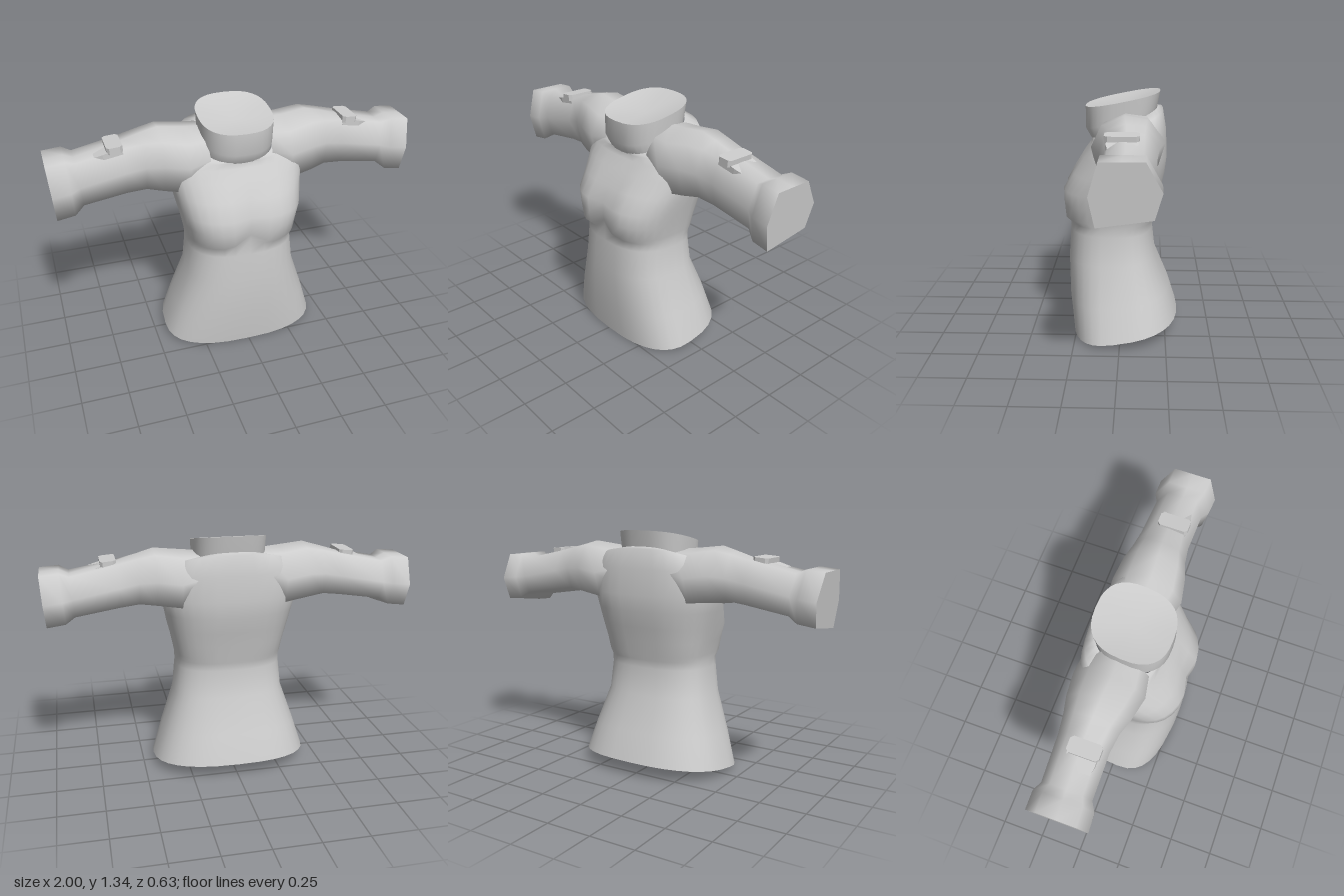
import * as THREE from 'three';

const cloth = new THREE.MeshStandardMaterial({ color: 0xcccccc });
cloth.name = 'plain grey cloth';

// Smooth skin over a list of rings with equal point counts
function loft(name, rings) {
  const n = rings[0].length, index = [];
  for (let r = 0; r < rings.length - 1; r++) {
    for (let i = 0; i < n; i++) {
      const a = r * n + i, b = r * n + (i + 1) % n;
      index.push(a, b, b + n, a, b + n, a + n);
    }
  }
  return skin(name, rings.flat(), index);
}

// Fan that closes a ring; sink lowers its centre into a shallow dish
function cap(name, ring, flip = false, sink = 0) {
  const n = ring.length;
  const centre = ring.reduce((sum, p) => sum.add(p), new THREE.Vector3()).divideScalar(n);
  centre.y -= sink;
  const index = [];
  for (let i = 0; i < n; i++) {
    const j = (i + 1) % n;
    index.push(n, flip ? j : i, flip ? i : j);
  }
  return skin(name, [...ring, centre], index);
}

function skin(name, points, index) {
  const geometry = new THREE.BufferGeometry().setFromPoints(points);
  geometry.setIndex(index);
  geometry.computeVertexNormals();
  return named(name, geometry);
}

function named(name, geometry) {
  const mesh = new THREE.Mesh(geometry, cloth);
  mesh.name = name;
  return mesh;
}

// Horizontal body section: rounded outline, tilted, with an optional centre cleft
function bodyRing({ y, w, f, b, m = 0.03, tilt = 0, cleft = 0, lift = 0, e = 0.78 }) {
  const ring = [], n = 32;
  const power = (v) => Math.sign(v) * Math.abs(v) ** e;
  for (let i = 0; i < n; i++) {
    const t = (i / n) * Math.PI * 2;
    const c = Math.abs(Math.cos(t)) < 1e-6 ? 0 : Math.cos(t);
    const x = w * power(Math.sin(t));
    let z = m + (c > 0 ? f - m : m - b) * power(c);
    let py = y - tilt * z;
    if (c > 0) {
      const middle = Math.exp(-((x / 0.065) ** 2));
      z -= cleft * middle;
      py += lift * middle;
    }
    ring.push(new THREE.Vector3(x, py, z));
  }
  return ring;
}

// Upright sleeve section; drop lowers the upper corners beside the top point
function sleeveRing(s, [x, top, bottom, front, back, drop, lean = 0]) {
  const outline = [[0.72, 1 - drop], [1, -0.05], [0.82, -1], [-0.78, -0.75],
    [-1, 0.09], [-0.54, 1 - drop * 0.4], [0.1, 1]];
  const ring = outline.map(([u, v]) => new THREE.Vector3(
    s * (x - lean * (1 - v) / 2),
    (top + bottom) / 2 + v * (top - bottom) / 2,
    (front + back) / 2 + u * (front - back) / 2));
  return s > 0 ? ring : ring.reverse();
}

function sleeve(s, side) {
  const group = new THREE.Group();
  group.name = side + 'Sleeve';
  // x, top, bottom, front, back, corner drop, lean
  const rings = [
    [0.17, 1.24, 0.99, 0.13, -0.22, 0.35],
    [0.28, 1.25, 0.93, 0.15, -0.235, 0.35],
    [0.41, 1.265, 0.95, 0.125, -0.22, 0.3],
    [0.5, 1.24, 0.965, 0.095, -0.2, 0.2],
    [0.6, 1.21, 0.953, 0.08, -0.19, 0.1],
    [0.85, 1.152, 0.918, 0.08, -0.185, 0, 0.02],
    [0.9, 1.175, 0.88, 0.11, -0.21, 0, 0.02],
    [1.0, 1.166, 0.867, 0.115, -0.21, 0, 0.025],
  ].map((r) => sleeveRing(s, r));
  group.add(loft('sleeveAndCuff', rings));
  group.add(cap('cuffEnd', rings[rings.length - 1]));

  // Tapered pad lying on the upper sleeve
  const pad = plate('sleevePad', s, 0.045,
    [[-0.1, 0.1], [0.04, 0.1], [0.105, 0.045], [0.105, -0.03], [0, -0.05], [-0.1, -0.05]]);
  pad.position.set(s * 0.7, 1.138, 0);
  pad.rotation.z = -0.28 * s;
  // Raised band across the inner end of the pad
  const band = plate('padBand', s, 0.035,
    [[-0.04, 0.09], [-0.025, 0.105], [0.03, 0.105], [0.043, 0.09],
      [0.043, -0.045], [0.03, -0.06], [-0.025, -0.06], [-0.04, -0.045]]);
  band.position.set(s * 0.645, 1.183, 0);
  band.rotation.z = -0.08 * s;
  group.add(pad, band);
  return group;
}

// Flat plate from an outline seen from above
function plate(name, s, depth, outline) {
  const shape = new THREE.Shape(outline.map(([x, y]) => new THREE.Vector2(s * x, y)));
  const geometry = new THREE.ExtrudeGeometry(shape, { depth, bevelEnabled: false });
  geometry.rotateX(-Math.PI / 2);
  return named(name, geometry);
}

export function createModel() {
  const model = new THREE.Group();
  model.name = 'shirtTorso';

  // Torso from hem to collar base
  const body = [
    { y: 0.039, w: 0.44, f: 0.27, b: -0.32, tilt: 0.144 },
    { y: 0.22, w: 0.384, f: 0.29, b: -0.27, tilt: 0.08 },
    { y: 0.43, w: 0.312, f: 0.295, b: -0.19, tilt: 0.02 },
    { y: 0.59, w: 0.295, f: 0.283, b: -0.172 },
    { y: 0.635, w: 0.296, f: 0.28, b: -0.178, lift: 0.05 },
    { y: 0.665, w: 0.3, f: 0.314, b: -0.187, lift: 0.05, cleft: 0.028, e: 0.72 },
    { y: 0.74, w: 0.315, f: 0.32, b: -0.2, lift: 0.02, cleft: 0.032, e: 0.72 },
    { y: 0.82, w: 0.335, f: 0.32, b: -0.22, cleft: 0.03, e: 0.72 },
    { y: 0.91, w: 0.355, f: 0.268, b: -0.24, m: 0.0, cleft: 0.015 },
    { y: 1.0, w: 0.375, f: 0.21, b: -0.25, m: -0.02 },
    { y: 1.09, w: 0.37, f: 0.168, b: -0.243, m: -0.03, tilt: 0.2 },
    { y: 1.15, w: 0.3, f: 0.16, b: -0.225, m: -0.03, tilt: 0.42 },
    { y: 1.165, w: 0.2, f: 0.163, b: -0.195, m: -0.01, tilt: 0.46 },
  ].map(bodyRing);
  model.add(loft('torso', body), cap('hemUnderside', body[0], true));

  // Standing collar with a shallow hollow
  const collar = [
    { y: 1.155, w: 0.192, f: 0.16, b: -0.19, m: -0.01, tilt: 0.46 },
    { y: 1.2, w: 0.195, f: 0.195, b: -0.195, m: -0.01, tilt: 0.3 },
    { y: 1.298, w: 0.2, f: 0.195, b: -0.21, m: -0.01, tilt: 0.2 },
  ].map(bodyRing);
  model.add(loft('collar', collar), cap('collarHollow', collar[2], false, 0.04));

  model.add(sleeve(1, 'left'), sleeve(-1, 'right'));
  return model;
}
